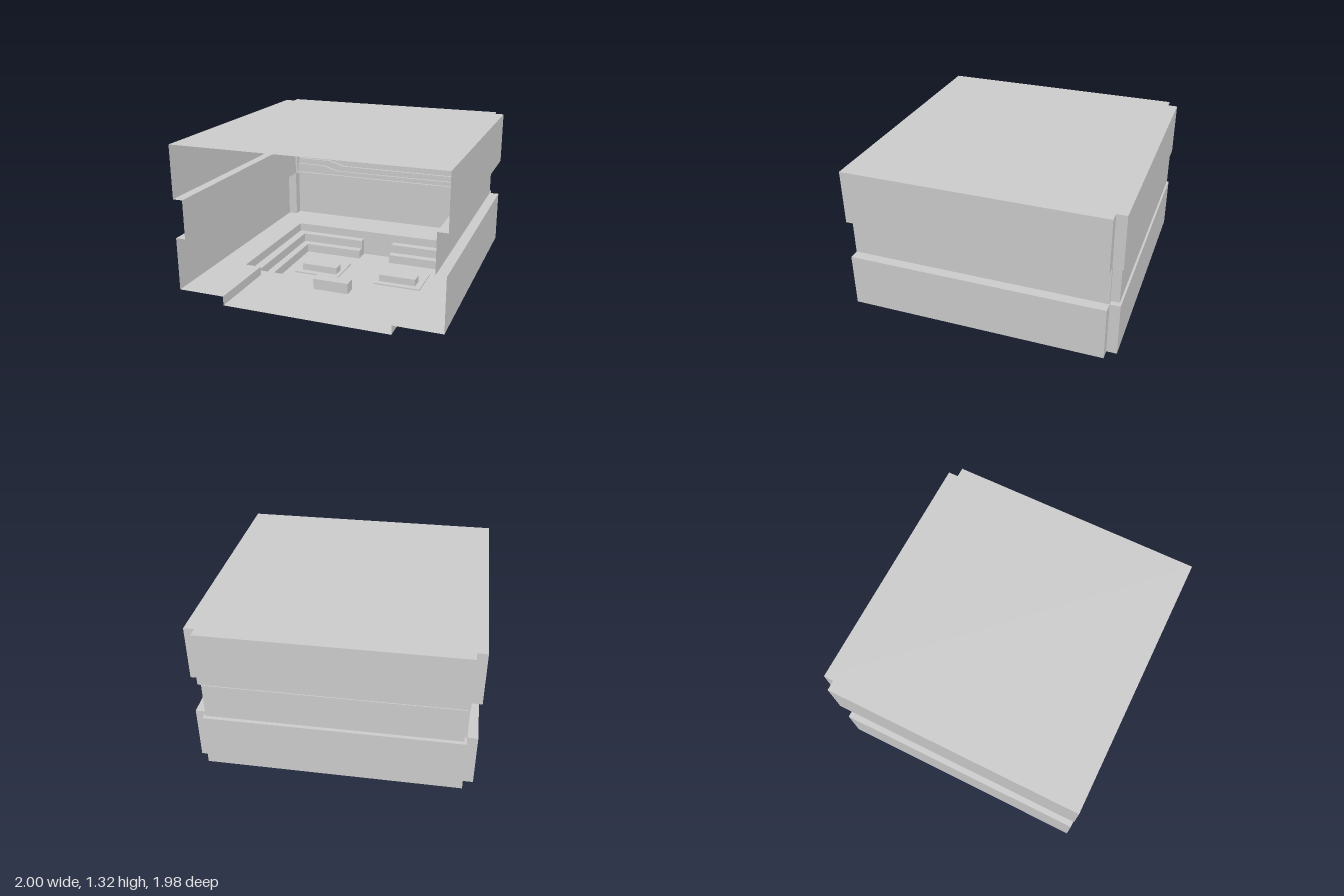
import * as THREE from 'three';

const material = new THREE.MeshStandardMaterial({ color: 0xcccccc, side: THREE.DoubleSide, flatShading: true });

export function createModel() {
  const model = new THREE.Group();
  const add = (name, geometry, x = 0, y = 0, z = 0) => {
    const mesh = new THREE.Mesh(geometry, material);
    mesh.name = name;
    mesh.position.set(x, y, z);
    model.add(mesh);
    return mesh;
  };
  const box = (name, x0, x1, y0, y1, z0, z1) =>
    add(name, new THREE.BoxGeometry(x1 - x0, y1 - y0, z1 - z0), (x0 + x1) / 2, (y0 + y1) / 2, (z0 + z1) / 2);
  // Complete a left half plan of [x, z] points by mirroring in x
  const mirror = half => [...half, ...half.map(([x, z]) => [-x, z]).reverse()];
  const vectors = points => points.map(([x, y]) => new THREE.Vector2(x, y));
  // Upright thin wall following a plan path
  const wall = (name, plan, y0, y1) => {
    const positions = [];
    for (let i = 0; i < plan.length - 1; i++) {
      const [[ax, az], [bx, bz]] = [plan[i], plan[i + 1]];
      positions.push(ax, y0, az, bx, y0, bz, bx, y1, bz, ax, y0, az, bx, y1, bz, ax, y1, az);
    }
    const geometry = new THREE.BufferGeometry();
    geometry.setAttribute('position', new THREE.Float32BufferAttribute(positions, 3));
    geometry.computeVertexNormals();
    add(name, geometry);
  };
  // Horizontal thin slab from a plan outline, with an optional hole
  const slab = (name, plan, y, hole) => {
    const flip = points => vectors(points.map(([x, z]) => [x, -z]));
    const shape = new THREE.Shape(flip(plan));
    if (hole) shape.holes.push(new THREE.Path(flip(hole)));
    add(name, new THREE.ShapeGeometry(shape).rotateX(-Math.PI / 2), 0, y, 0);
  };

  // Room shell: two wide storeys with a recessed band between them
  const outer = mirror([[-1, 0.99], [-1, -0.915], [-0.925, -0.915], [-0.925, -0.99]]);
  const inner = mirror([[-0.925, 0.99], [-0.925, -0.915]]);
  wall('lowerWall', outer, 0.215, 0.62);
  wall('upperWall', outer, 0.915, 1.315);
  for (const side of [-1, 1]) wall('bandWall', [[0.925 * side, 0.99], [0.925 * side, -0.915]], 0.62, 0.915);
  slab('roof', outer, 1.315);
  for (const y of [0.62, 0.915]) slab('ledge', [...outer, ...[...inner].reverse()], y);

  // Rear band with an opening for the relief niche
  const rectangle = (x, y0, y1) => vectors([[-x, y0], [x, y0], [x, y1], [-x, y1]]);
  const rear = new THREE.Shape(rectangle(0.925, 0.62, 0.915));
  rear.holes.push(new THREE.Path(rectangle(0.905, 0.635, 0.9)));
  add('rearBandWall', new THREE.ShapeGeometry(rear), 0, 0, -0.915);
  box('nicheBack', -0.905, 0.905, 0.635, 0.9, -0.978, -0.974);
  for (const side of [-1, 1]) wall('nicheSide', [[0.905 * side, -0.915], [0.905 * side, -0.978]], 0.635, 0.9);
  const nicheFloor = mirror([[-0.905, -0.915], [-0.905, -0.978]]);
  for (const y of [0.635, 0.9]) slab('nicheEdge', nicheFloor, y);

  // Layered strips with bent edges inside the niche
  const upperOuter = [[-0.905, 0.875], [0.53, 0.875], [0.68, 0.83], [0.75, 0.83], [0.905, 0.875]];
  const upperInner = [[-0.905, 0.86], [-0.755, 0.86], [-0.62, 0.82], [0.53, 0.82], [0.68, 0.777], [0.75, 0.777], [0.905, 0.82]];
  const lowerInner = [[-0.905, 0.76], [-0.6, 0.76], [-0.45, 0.718], [0.75, 0.718], [0.905, 0.76]];
  const lowerOuter = [[-0.905, 0.712], [-0.65, 0.712], [-0.51, 0.672], [0.75, 0.672], [0.905, 0.712]];
  const strip = (name, lower, upper, depth) => {
    const shape = new THREE.Shape(vectors([...lower, ...[...upper].reverse()]));
    add(name, new THREE.ExtrudeGeometry(shape, { depth, bevelEnabled: false }), 0, 0, -0.974);
  };
  strip('upperReliefFront', upperOuter, [[-0.905, 0.9], [0.905, 0.9]], 0.04);
  strip('upperReliefBack', upperInner, upperOuter, 0.022);
  strip('lowerReliefBack', lowerOuter, lowerInner, 0.022);
  strip('lowerReliefFront', [[-0.905, 0.635], [0.905, 0.635]], lowerOuter, 0.04);

  // Sunken, stepped pit with a front walkway and a rear aisle
  const entry = [[-0.64, 0.99], [-0.64, 0.4], [-0.77, 0.4], [-0.77, -0.66]];
  const upperPit = mirror(entry);
  const pitPlan = (x, front, back, aisleX, aisleZ) =>
    mirror([[-x, front], [-x, back], [-aisleX, back], [-aisleX, aisleZ]]);
  const middlePit = pitPlan(0.7, 0.32, -0.595, 0.14, -0.659);
  const lowerPit = pitPlan(0.64, 0.26, -0.53, 0.139, -0.658);
  const closed = plan => [...plan, plan[0]];

  slab('floor', [...outer, ...[...upperPit].reverse()], 0.215);
  wall('upperPitWall', upperPit, 0.145, 0.215);
  slab('upperTread', upperPit, 0.145, middlePit);
  wall('middlePitWall', closed(middlePit), 0.073, 0.145);
  slab('middleTread', middlePit, 0.073, lowerPit);
  wall('lowerPitWall', closed(lowerPit), 0, 0.073);
  slab('pitFloor', lowerPit, 0);

  // Furniture: a block on the walkway and paired benches on low platforms
  box('walkwayBlock', -0.14, 0.14, 0.146, 0.23, 0.41, 0.5);
  for (const side of [-1, 1]) {
    const platform = box('platform', -0.195, 0.195, 0.001, 0.012, -0.37, -0.05);
    const bench = box('bench', -0.155, 0.155, 0.012, 0.07, -0.2, -0.1);
    platform.position.x = 0.355 * side;
    bench.position.x = 0.345 * side;
  }
  return model;
}
